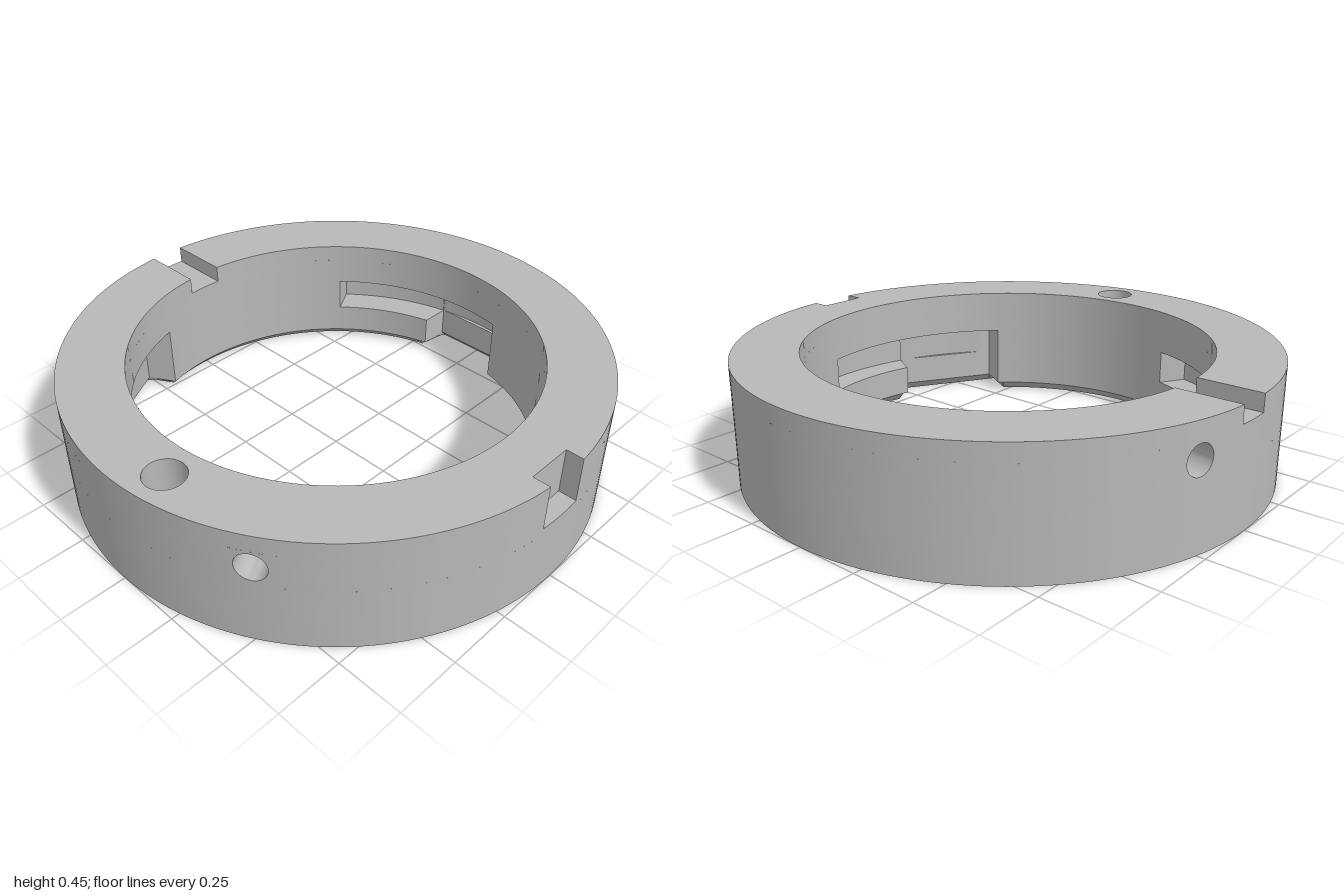
import * as THREE from 'three';
import { toCreasedNormals, mergeGeometries } from 'three/addons/utils/BufferGeometryUtils.js';

const RAD = Math.PI / 180;
const H = 0.45, RO = 1, RI = 0.757, CH = 0.035;          // ring height, radii, inner chamfer
const RG = 0.87, FLAT = 0.855, Y_LEDGE = 0.15, Y_CEIL = 0.28; // bayonet groove
const SLOT_W = 0.068, Y_SLOT = 0.385;                     // slot across the back of the top
const NOTCH_W = 0.09, NOTCH_Z = 0.93, Y_NOTCH = 0.275;    // notch in the front
const PIN = { x: -0.87, z: 0.12, r: 0.073 };              // vertical through hole
const SCREW = { y: 0.32, r: 0.055, end: 0.87, az: [45, 165, 300], span: 5 };
const LUGS = [{ c: 90, w: 0.172 }, { c: 210, w: 0.172 }, { c: 330, w: 0.211 }];
const TURN = 30;                                          // groove runs on by this angle

// Azimuth in degrees, from +z towards +x
const polar = (r, y, az) => new THREE.Vector3(r * Math.sin(az * RAD), y, r * Math.cos(az * RAD));
const v = (x, y, z) => new THREE.Vector3(x, y, z);
const wrap = (a) => ((a + 180) % 360 + 360) % 360 - 180;
const asinD = (s) => Math.asin(s) / RAD;

// Radius of the entry openings, grown by g for the chamfer
function openRadius(az, g = 0) {
  let r = RI + g;
  for (const { c, w } of LUGS) {
    const d = wrap(az - c);
    if (Math.abs(d) > 40) continue;
    const side = (w + g) / Math.max(1e-6, Math.abs(Math.sin(d * RAD)));
    r = Math.max(r, Math.min((FLAT + g) / Math.cos(d * RAD), side));
  }
  return r;
}

// Radius of the locking grooves
function grooveRadius(az) {
  let r = openRadius(az);
  for (const { c, w } of LUGS) {
    const d = wrap(az - c);
    if (d < -40 || d > TURN + 40) continue;
    const off = d < 0 ? -d : Math.max(0, d - TURN);
    r = Math.max(r, Math.min(RG, w / Math.max(1e-6, Math.sin(off * RAD))));
  }
  return r;
}

// Angles for the inside: even steps plus every corner of the openings
function innerAngles() {
  const list = [];
  for (let a = 0; a < 360; a += 2) list.push(a);
  for (const { c, w } of LUGS) {
    const corners = [asinD(w / RI), asinD(w / RG), Math.atan2(w, FLAT) / RAD, Math.acos(FLAT / RG) / RAD,
      asinD((w + CH) / (RI + CH)), Math.atan2(w + CH, FLAT + CH) / RAD];
    for (const k of corners) for (const a of [c - k, c + k, c + TURN + k]) list.push((a + 360) % 360);
  }
  list.sort((a, b) => a - b);
  const out = list.filter((a, i) => i === 0 || a - list[i - 1] > 0.01);
  return [...out, 360];
}

function range(a0, a1, step = 2) {
  const n = Math.max(1, Math.ceil((a1 - a0) / step));
  return Array.from({ length: n + 1 }, (_, i) => a0 + (a1 - a0) * i / n);
}

// Surface between two rows of points, leaving out empty quads
function loft(a, b) {
  const n = a.length, index = [];
  for (let i = 0; i < n - 1; i++) {
    if (a[i].distanceTo(b[i]) > 1e-5) index.push(i, i + 1, n + i);
    if (a[i + 1].distanceTo(b[i + 1]) > 1e-5) index.push(i + 1, n + i + 1, n + i);
  }
  const g = new THREE.BufferGeometry().setFromPoints([...a, ...b]);
  g.setIndex(index);
  return toCreasedNormals(g, 0.4);
}

const row = (angles, r, y) => angles.map((a) => polar(typeof r === 'function' ? r(a) : r, y, a));
const pinCircle = (y) => range(0, 360, 10).map((a) => polar(PIN.r, y, a).add(v(PIN.x, 0, PIN.z)));

// Flat face through outline points, with holes, facing up or down
function cap(outline, holes, y, up) {
  const s = up ? -1 : 1;
  const flat = (pts) => pts.map((p) => new THREE.Vector2(p.x, s * p.z));
  const shape = new THREE.Shape(flat(outline));
  shape.holes = holes.map((h) => new THREE.Path(flat(h)));
  return new THREE.ShapeGeometry(shape).rotateX(s * Math.PI / 2).translate(0, y, 0);
}

// Patch of the outer wall with a round hole, bent around the ring
function screwPatch(az, y0, y1) {
  const h = SCREW.span * RAD, shape = new THREE.Shape();
  const xs = range(-h, h, h / 4);
  shape.setFromPoints([...xs.map((x) => new THREE.Vector2(x, y0)),
    ...xs.slice().reverse().map((x) => new THREE.Vector2(x, y1))]);
  shape.holes.push(new THREE.Path(range(0, 350, 10).map((t) => new THREE.Vector2(
    Math.asin(SCREW.r * Math.cos(t * RAD)), SCREW.y + SCREW.r * Math.sin(t * RAD)))));
  const g = new THREE.ShapeGeometry(shape), p = g.attributes.position, nor = g.attributes.normal;
  for (let i = 0; i < p.count; i++) {
    const a = az + p.getX(i) / RAD, q = polar(RO, p.getY(i), a), n = polar(1, 0, a);
    p.setXYZ(i, q.x, q.y, q.z);
    nor.setXYZ(i, n.x, n.y, n.z);
  }
  return g.toNonIndexed();
}

export function createModel() {
  const group = new THREE.Group();
  const metal = new THREE.MeshStandardMaterial({ color: 0xb8b8b8, side: THREE.DoubleSide });
  metal.name = 'grey metal';
  const add = (name, ...geos) => {
    const plain = geos.map((g) => {
      const k = g.index ? g.toNonIndexed() : g;
      k.deleteAttribute('uv');
      return k;
    });
    const mesh = new THREE.Mesh(mergeGeometries(plain), metal);
    mesh.name = name;
    group.add(mesh);
  };
  const wall = (angles, y0, y1) => loft(row(angles, RO, y0), row(angles, RO, y1));
  const full = range(0, 360), inner = innerAngles();
  const notchA = asinD(NOTCH_W), slotO = asinD(SLOT_W), slotI = asinD(SLOT_W / RI);

  // Outer wall: plain bands, with gaps for the notch, slot and screw holes
  const yBand = 0.25, outer = [wall(full, 0, yBand), wall(range(-notchA, notchA), yBand, Y_NOTCH)];
  let from = notchA;
  for (const az of SCREW.az) {
    outer.push(wall(range(from, az - SCREW.span), yBand, Y_SLOT), screwPatch(az, yBand, Y_SLOT));
    from = az + SCREW.span;
  }
  outer.push(wall(range(from, 360 - notchA), yBand, Y_SLOT));
  outer.push(wall(range(notchA, 180 - slotO), Y_SLOT, H), wall(range(180 + slotO, 360 - notchA), Y_SLOT, H));
  add('outerWall', ...outer);

  // Inner wall with chamfer, entry openings and grooves
  const innerTop = range(180 + slotI, 540 - slotI);
  add('innerChamfer', loft(row(inner, openRadius, CH), row(inner, (a) => openRadius(a, CH), 0)));
  add('entryOpenings', loft(row(inner, openRadius, Y_LEDGE), row(inner, openRadius, CH)));
  add('grooves',
    loft(row(inner, grooveRadius, Y_LEDGE), row(inner, openRadius, Y_LEDGE)),
    loft(row(inner, grooveRadius, Y_CEIL), row(inner, grooveRadius, Y_LEDGE)),
    loft(row(inner, RI, Y_CEIL), row(inner, grooveRadius, Y_CEIL)));
  add('innerWall',
    loft(row(full, RI, Y_SLOT), row(full, RI, Y_CEIL)),
    loft(row(innerTop, RI, H), row(innerTop, RI, Y_SLOT)));

  // Top and bottom faces
  const notchZ = Math.sqrt(1 - NOTCH_W ** 2);
  const topOutline = [
    ...row(range(180 + slotO, 360 - notchA), RO, H), v(-NOTCH_W, H, NOTCH_Z), v(NOTCH_W, H, NOTCH_Z),
    ...row(range(notchA, 180 - slotO), RO, H), ...row(innerTop, RI, H).reverse()];
  add('topFace', cap(topOutline, [pinCircle(H).slice(1)], H, true));
  add('bottomFace', cap(row(full, RO, 0).slice(1),
    [row(inner, (a) => openRadius(a, CH), 0).slice(1), pinCircle(0).slice(1)], 0, false));

  // Slot across the top at the back
  const slotX = range(-SLOT_W, SLOT_W, 0.03).reverse();
  const slotRow = (r, y) => slotX.map((x) => v(x, y, -Math.sqrt(r * r - x * x)));
  const slotSide = (i, y) => [slotRow(RO, y).at(i), slotRow(RI, y).at(i)];
  add('backSlot',
    loft(slotRow(RO, Y_SLOT), slotRow(RI, Y_SLOT)),
    loft(slotSide(0, Y_SLOT), slotSide(0, H)),
    loft(slotSide(-1, Y_SLOT).reverse(), slotSide(-1, H).reverse()));

  // Notch at the front
  const nx = range(-NOTCH_W, NOTCH_W, 0.03);
  const notchBack = (y) => nx.map((x) => v(x, y, NOTCH_Z));
  const notchSide = (x, y) => [v(x, y, NOTCH_Z), v(x, y, notchZ)];
  add('frontNotch',
    loft(nx.map((x) => v(x, Y_NOTCH, Math.sqrt(1 - x * x))), notchBack(Y_NOTCH)),
    loft(notchBack(Y_NOTCH), notchBack(H)),
    loft(notchSide(NOTCH_W, Y_NOTCH), notchSide(NOTCH_W, H)),
    loft(notchSide(-NOTCH_W, Y_NOTCH).reverse(), notchSide(-NOTCH_W, H).reverse()));

  // Vertical hole and blind screw holes
  add('pinHole', loft(pinCircle(H), pinCircle(0)));
  for (const az of SCREW.az) {
    const ring = (depth) => range(0, 360, 10).map((t) => {
      const x = SCREW.r * Math.cos(t * RAD);
      return v(x, SCREW.y + SCREW.r * Math.sin(t * RAD), depth ?? Math.sqrt(1 - x * x));
    });
    const end = new THREE.CircleGeometry(SCREW.r, 36).translate(0, SCREW.y, SCREW.end);
    add('screwHole', loft(ring(), ring(SCREW.end)).rotateY(az * RAD), end.rotateY(az * RAD));
  }
  return group;
}
